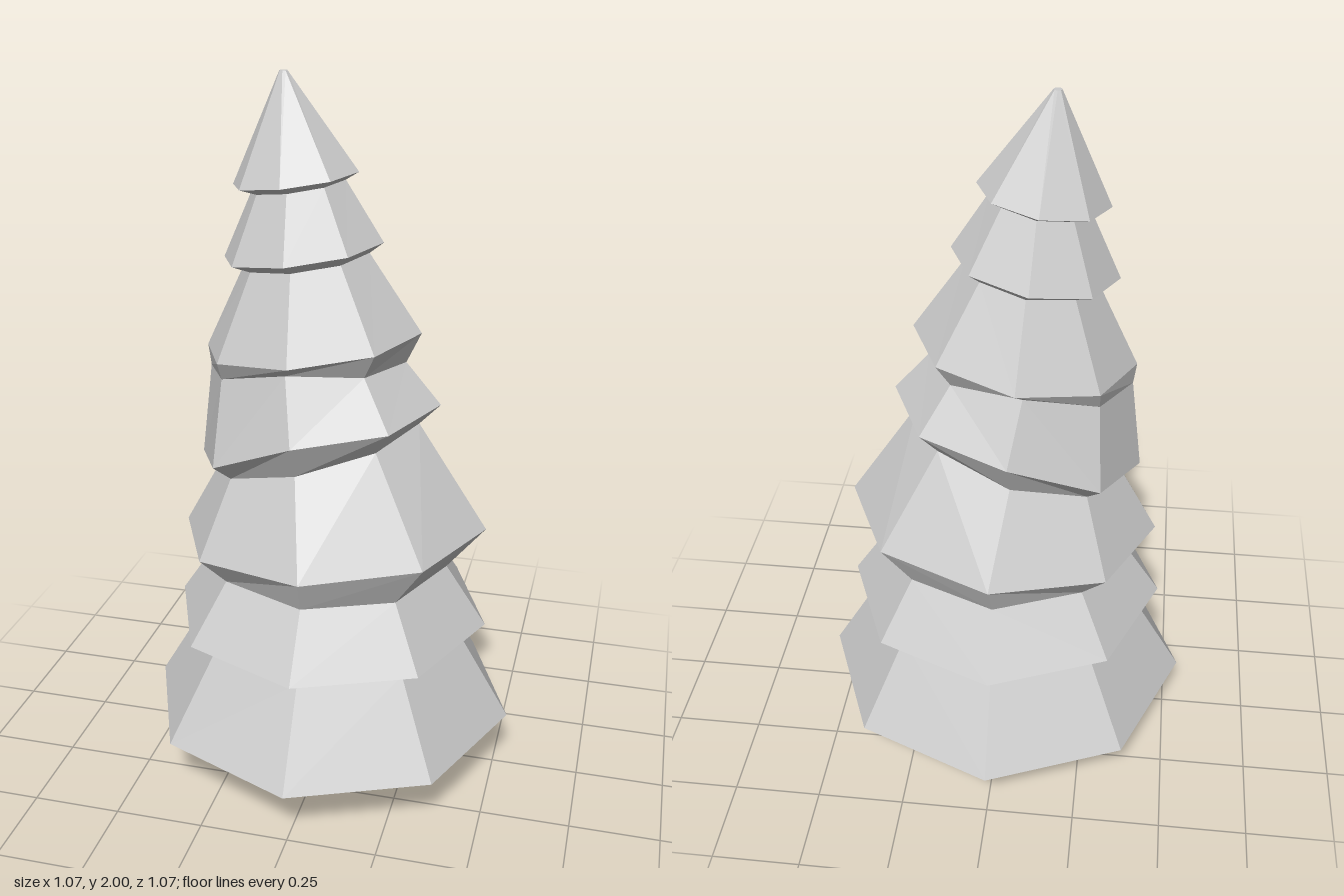
import * as THREE from 'three';

const SIDES = 8;
const material = new THREE.MeshStandardMaterial({ color: 0xcccccc, flatShading: true });

// Tilted octagon: left x/y, right x/y, half depth, and a lift of the front and back corners.
function ring([lx, ly, rx, ry, depth, lift = 0]) {
  const points = [];
  for (let i = 0; i < SIDES; i++) {
    const angle = (i / SIDES) * Math.PI * 2;
    const c = Math.cos(angle), s = Math.sin(angle);
    points.push([
      (lx + rx) / 2 + c * (rx - lx) / 2,
      (ly + ry) / 2 + c * (ry - ly) / 2 + lift * s ** 4,
      depth * s,
    ]);
  }
  return points;
}

// Skin a stack of rings and close both ends with fans.
function loft(rows, bottomY, topY) {
  const rings = rows.map(ring);
  const positions = [];
  const tri = (a, b, c) => positions.push(...a, ...b, ...c);
  for (let r = 0; r < rings.length - 1; r++) {
    for (let i = 0; i < SIDES; i++) {
      const j = (i + 1) % SIDES;
      const a = rings[r][i], b = rings[r][j];
      const c = rings[r + 1][i], d = rings[r + 1][j];
      // the diagonal is mirrored between front and back
      if (i < SIDES / 2) { tri(a, c, b); tri(b, c, d); }
      else { tri(a, d, b); tri(a, c, d); }
    }
  }
  const first = rings[0], last = rings[rings.length - 1];
  const lastX = (last[0][0] + last[SIDES / 2][0]) / 2;
  for (let i = 0; i < SIDES; i++) {
    const j = (i + 1) % SIDES;
    tri(first[i], first[j], [0, bottomY, 0]);
    tri(last[j], last[i], [lastX, topY, 0]);
  }
  const geometry = new THREE.BufferGeometry();
  geometry.setAttribute('position', new THREE.Float32BufferAttribute(positions, 3));
  geometry.computeVertexNormals();
  return geometry;
}

export function createModel() {
  const group = new THREE.Group();
  group.name = 'tree';

  // Trunk
  const trunk = new THREE.Mesh(
    new THREE.CylinderGeometry(0.18, 0.2, 0.17, SIDES), material);
  trunk.name = 'trunk';
  trunk.position.y = 0.085;
  group.add(trunk);

  // Foliage: each tier is a wide rim followed by a narrow waist, leaning towards -x
  const tiers = [
    [-0.535, 0.167, 0.535, 0.167, 0.535],
    [-0.38, 0.43, 0.38, 0.43, 0.38],
    [-0.457, 0.465, 0.457, 0.465, 0.457],
    [-0.34, 0.64, 0.34, 0.64, 0.34],
    [-0.435, 0.70, 0.447, 0.77, 0.385],
    [-0.325, 0.90, 0.25, 1.07, 0.245],
    [-0.378, 0.925, 0.308, 1.13, 0.30, 0.057],
    [-0.345, 1.19, 0.21, 1.245, 0.22, 0.04],
    [-0.353, 1.25, 0.25, 1.33, 0.263],
    [-0.24, 1.49, 0.105, 1.54, 0.16],
    [-0.297, 1.505, 0.143, 1.57, 0.192],
    [-0.215, 1.69, 0.04, 1.73, 0.115],
    [-0.267, 1.703, 0.075, 1.752, 0.148],
    [-0.135, 2, -0.113, 2, 0.011],
  ];
  const foliage = new THREE.Mesh(loft(tiers, 0.155, 2), material);
  foliage.name = 'foliage';
  group.add(foliage);

  return group;
}
